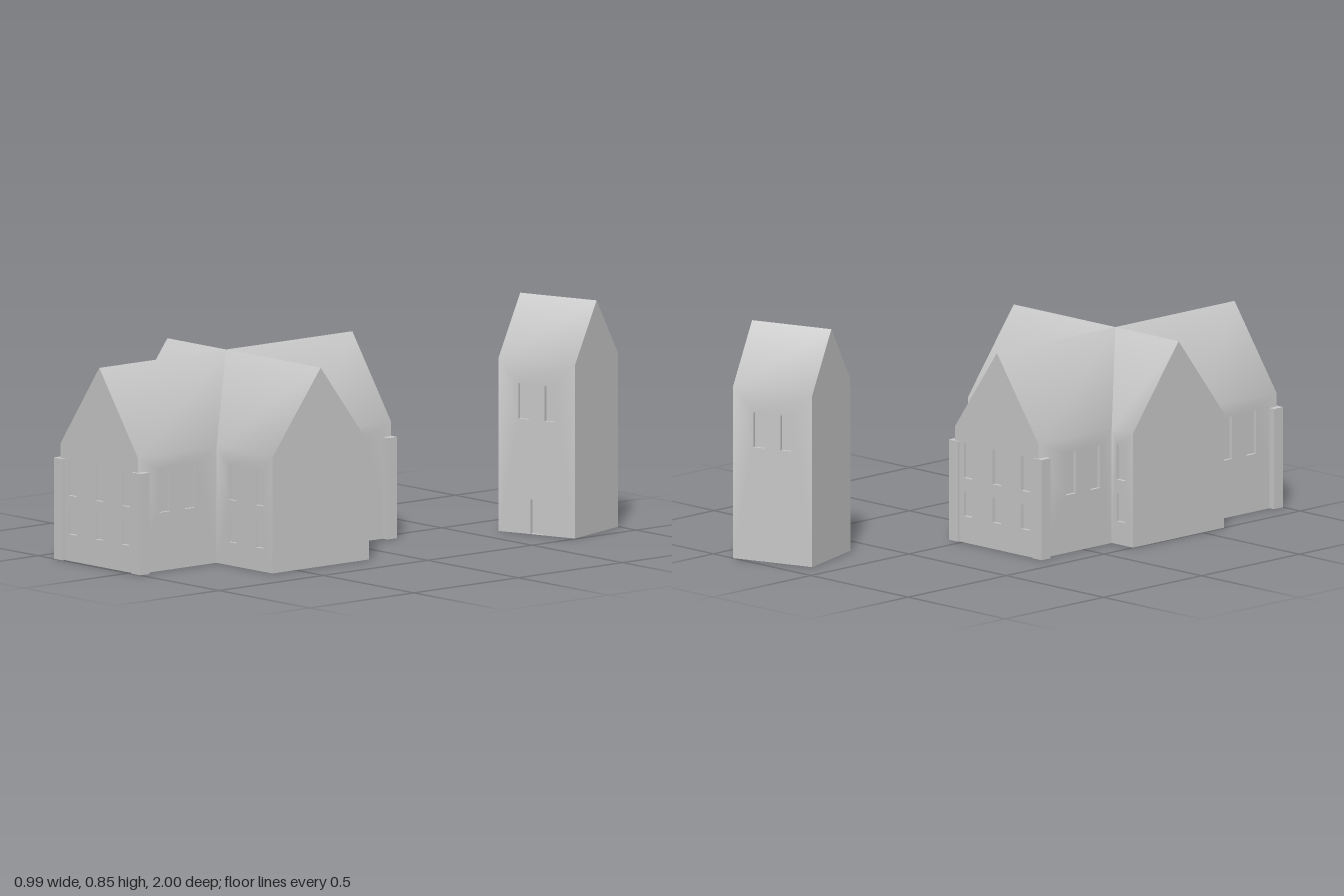
import * as THREE from 'three';
import { mergeGeometries, toCreasedNormals } from 'three/addons/utils/BufferGeometryUtils.js';

const RECESS = 0.012;
const stone = new THREE.MeshStandardMaterial({ color: 0xcccccc });
stone.name = 'pale grey stone';

// Four corners, counter-clockwise from outside
function quad(a, b, c, d) {
  const g = new THREE.BufferGeometry();
  g.setAttribute('position', new THREE.Float32BufferAttribute([a, b, c, a, c, d].flat(), 3));
  return g;
}

// Wall facing +z, with recessed openings given as [x0, x1, y0, y1]
function panel(outline, openings) {
  const shape = new THREE.Shape(outline.map(([x, y]) => new THREE.Vector2(x, y)));
  const parts = [];
  const r = -RECESS;
  for (const [x0, x1, y0, y1] of openings) {
    const hole = [[x0, y0], [x0, y1], [x1, y1], [x1, y0]];
    shape.holes.push(new THREE.Path(hole.map(([x, y]) => new THREE.Vector2(x, y))));
    hole.forEach((p, i) => {
      const q = hole[(i + 1) % 4];
      parts.push(quad([...p, 0], [...p, r], [...q, r], [...q, 0]));
    });
    parts.push(quad([x0, y0, r], [x1, y0, r], [x1, y1, r], [x0, y1, r]));
  }
  const face = new THREE.ShapeGeometry(shape).toNonIndexed();
  face.deleteAttribute('uv');
  face.deleteAttribute('normal');
  return mergeGeometries([face, ...parts]);
}

// Gabled wing running along +z; eaves start at inner, ridge starts at ridgeStart
function wing(name, o) {
  const { half: a, outer: d, inner: e, ridgeStart: s, eave: E, ridge: R } = o;
  const gable = [[-a, 0], [a, 0], [a, E], [0, R], [-a, E]];
  const sides = o.sideOpenings ?? [];
  const flipped = sides.map(([z0, z1, y0, y1]) => [-z1, -z0, y0, y1]);
  const parts = [
    panel(gable, o.gableOpenings ?? []).translate(0, 0, d),
    panel([[-d, 0], [-e, 0], [-e, E], [-d, E]], flipped).rotateY(Math.PI / 2).translate(a, 0, 0),
    panel([[e, 0], [d, 0], [d, E], [e, E]], [...sides, ...(o.doors ?? [])])
      .rotateY(-Math.PI / 2).translate(-a, 0, 0),
    quad([a, E, d], [a, E, e], [0, R, s], [0, R, d]),
    quad([-a, E, e], [-a, E, d], [0, R, d], [0, R, s]),
  ];
  if (o.backGable) parts.push(panel(gable, []).rotateY(Math.PI).translate(0, 0, e));
  // Eaves shade softly, every other edge stays sharp
  const mesh = new THREE.Mesh(toCreasedNormals(mergeGeometries(parts), 0.75), stone);
  mesh.name = name;
  mesh.rotation.y = o.turn;
  return mesh;
}

function floor(name, pts) {
  const shape = new THREE.Shape(pts.map(([x, z]) => new THREE.Vector2(x, z)));
  const mesh = new THREE.Mesh(new THREE.ShapeGeometry(shape).rotateX(Math.PI / 2), stone);
  mesh.name = name;
  return mesh;
}

// Repeat openings for every row of heights
const grid = (columns, rows) => columns.flatMap(c => rows.map(r => [...c, ...r]));

export function createModel() {
  const model = new THREE.Group();
  model.name = 'chapelAndTower';

  // Cross-shaped chapel, centred on the roof crossing
  const chapel = new THREE.Group();
  chapel.name = 'chapel';
  chapel.position.set(-0.1755, 0, 0.38);
  const naveHalf = 0.2145, armHalf = 0.232;
  const roof = { eave: 0.425, ridge: 0.73, ridgeStart: 0 };
  const front = 0.608, rear = 0.605, right = 0.5225, left = 0.3245;
  const upper = [0.24, 0.37], lower = [0.098, 0.19];
  const nave = {
    ...roof, half: naveHalf, inner: armHalf,
    gableOpenings: grid([[-0.17, -0.127], [-0.022, 0.022], [0.125, 0.167]], [upper, lower]),
  };
  const arm = { ...roof, half: armHalf, inner: naveHalf };
  const armRows = [upper, [0.085, 0.19]], naveRows = [[0.214, 0.372]];
  chapel.add(
    wing('frontNave', { ...nave, outer: front, turn: 0,
      sideOpenings: grid([[0.334, 0.382], [0.457, 0.505]], naveRows) }),
    wing('rearNave', { ...nave, outer: rear, turn: Math.PI,
      sideOpenings: grid([[0.292, 0.34], [0.415, 0.465]], naveRows) }),
    wing('longTransept', { ...arm, outer: right, turn: Math.PI / 2,
      sideOpenings: grid([[0.2825, 0.3255], [0.4295, 0.4735]], armRows) }),
    wing('shortTransept', { ...arm, outer: left, turn: -Math.PI / 2,
      sideOpenings: grid([[0.2395, 0.2825]], armRows) }),
    floor('chapelFloor', [
      [-naveHalf, -rear], [naveHalf, -rear], [naveHalf, -armHalf], [right, -armHalf],
      [right, armHalf], [naveHalf, armHalf], [naveHalf, front], [-naveHalf, front],
      [-naveHalf, armHalf], [-left, armHalf], [-left, -armHalf], [-naveHalf, -armHalf],
    ]),
  );

  // Corner buttresses on both nave ends
  for (const x of [-0.2135, 0.2155]) {
    for (const z of [0.597, -0.589]) {
      const b = new THREE.Mesh(new THREE.BoxGeometry(0.048, 0.372, 0.046), stone);
      b.name = 'buttress';
      b.position.set(x, 0.186, z);
      chapel.add(b);
    }
  }

  // Detached tower, turned slightly
  const tower = new THREE.Group();
  tower.name = 'tower';
  tower.position.set(0.2935, 0, -0.806);
  tower.rotation.y = 0.312;
  const th = 0.1515, tw = 0.1615;
  tower.add(
    wing('towerBody', {
      half: th, outer: tw, inner: -tw, ridgeStart: -tw, eave: 0.636, ridge: 0.853,
      turn: Math.PI / 2, backGable: true,
      sideOpenings: grid([[-0.078, -0.033], [0.033, 0.078]], [[0.42, 0.55]]),
      doors: [[-0.026, 0.026, 0.002, 0.127]],
    }),
    floor('towerFloor', [[-tw, -th], [tw, -th], [tw, th], [-tw, th]]),
  );

  model.add(chapel, tower);
  return model;
}
